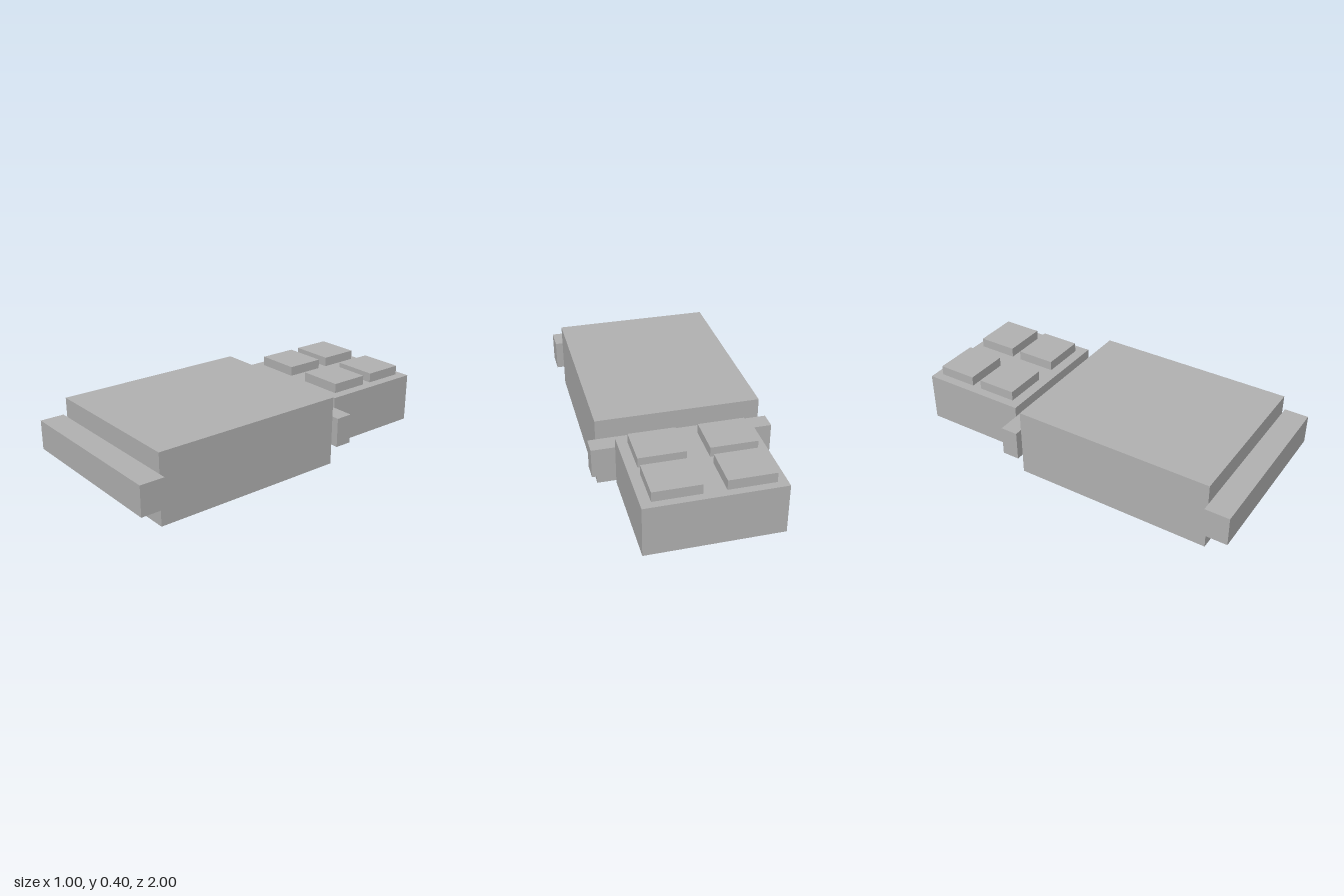
import * as THREE from 'three';

export function createModel() {
  const model = new THREE.Group();
  const grey = new THREE.MeshStandardMaterial({ color: 0xb2b2b2 });
  grey.name = 'grey';

  // Box given by its extents along each axis
  const addBox = (name, [x0, x1], [y0, y1], [z0, z1]) => {
    const mesh = new THREE.Mesh(new THREE.BoxGeometry(x1 - x0, y1 - y0, z1 - z0), grey);
    mesh.position.set((x0 + x1) / 2, (y0 + y1) / 2, (z0 + z1) / 2);
    mesh.name = name;
    model.add(mesh);
  };

  // Main body with a wider bar at each end
  addBox('body', [-0.457, 0.457], [0, 0.4], [-0.286, 0.861]);
  addBox('frontBar', [-0.5, 0.5], [0.117, 0.287], [0.861, 1]);
  addBox('rearBar', [-0.5, 0.5], [0.117, 0.287], [-0.386, -0.286]);

  // Narrow rear block
  addBox('rearBlock', [-0.37, 0.369], [0.061, 0.345], [-1, -0.386]);

  // Four raised pads on the rear block
  for (const x of [[-0.318, -0.063], [0.058, 0.313]]) {
    for (const z of [[-0.957, -0.73], [-0.672, -0.445]]) {
      addBox('pad', x, [0.345, 0.4], z);
    }
  }

  return model;
}
